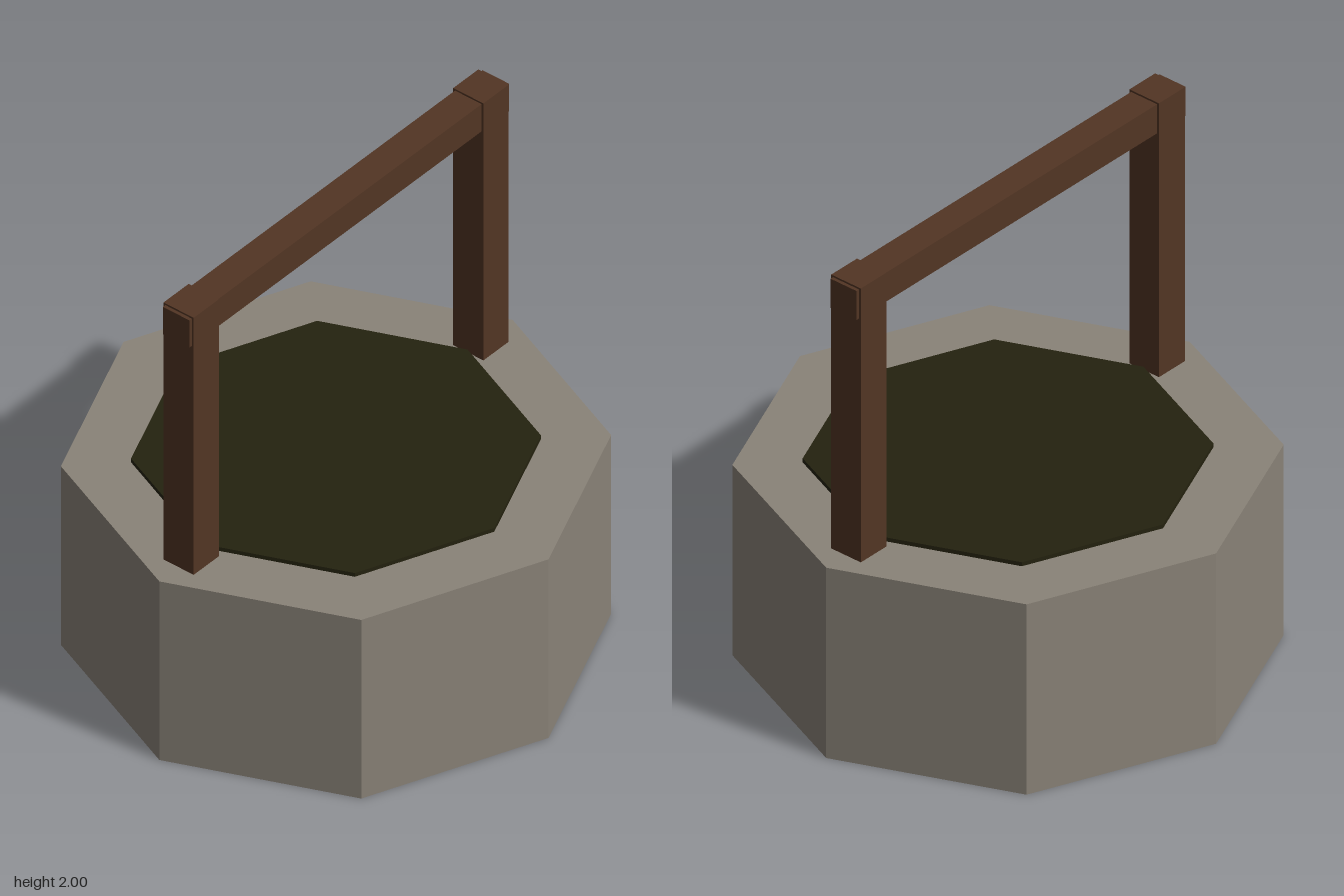
import * as THREE from 'three';

const stone = new THREE.MeshStandardMaterial({ color: 0x8a8378, side: THREE.DoubleSide, flatShading: true });
stone.name = 'stone grey';
const wood = new THREE.MeshStandardMaterial({ color: 0x523524, flatShading: true });
wood.name = 'dark wood';
const water = new THREE.MeshStandardMaterial({ color: 0x24220f, side: THREE.DoubleSide, flatShading: true });
water.name = 'murky green';

// Eight-sided drum with a closed top and an open bottom
function drum(name, radius, bottom, top, material) {
  const group = new THREE.Group();
  group.name = name;
  const wall = new THREE.Mesh(new THREE.CylinderGeometry(radius, radius, top - bottom, 8, 1, true), material);
  wall.name = name + 'Wall';
  wall.position.y = (top + bottom) / 2;
  const cap = new THREE.Mesh(new THREE.CircleGeometry(radius, 8), material);
  cap.name = name + 'Top';
  cap.rotation.x = -Math.PI / 2;
  cap.position.y = top;
  group.add(wall, cap);
  return group;
}

function beam(name, w, h, d, x, y) {
  const mesh = new THREE.Mesh(new THREE.BoxGeometry(w, h, d), wood);
  mesh.name = name;
  mesh.position.set(x, y, 0);
  return mesh;
}

export function createModel() {
  const well = new THREE.Group();
  well.name = 'well';

  // Stone base and the water surface standing just above it
  well.add(drum('stoneBase', 1, 0, 0.82, stone));
  well.add(drum('water', 0.745, 0.67, 0.837, water));

  // Posts run through the base down to the ground
  for (const [name, side] of [['leftPost', 1], ['rightPost', -1]]) {
    well.add(beam(name, 0.142, 2, 0.142, side * 0.82, 1));
  }

  // Crossbar passes through both posts
  well.add(beam('crossbar', 1.81, 0.125, 0.125, 0, 1.93));
  return well;
}
